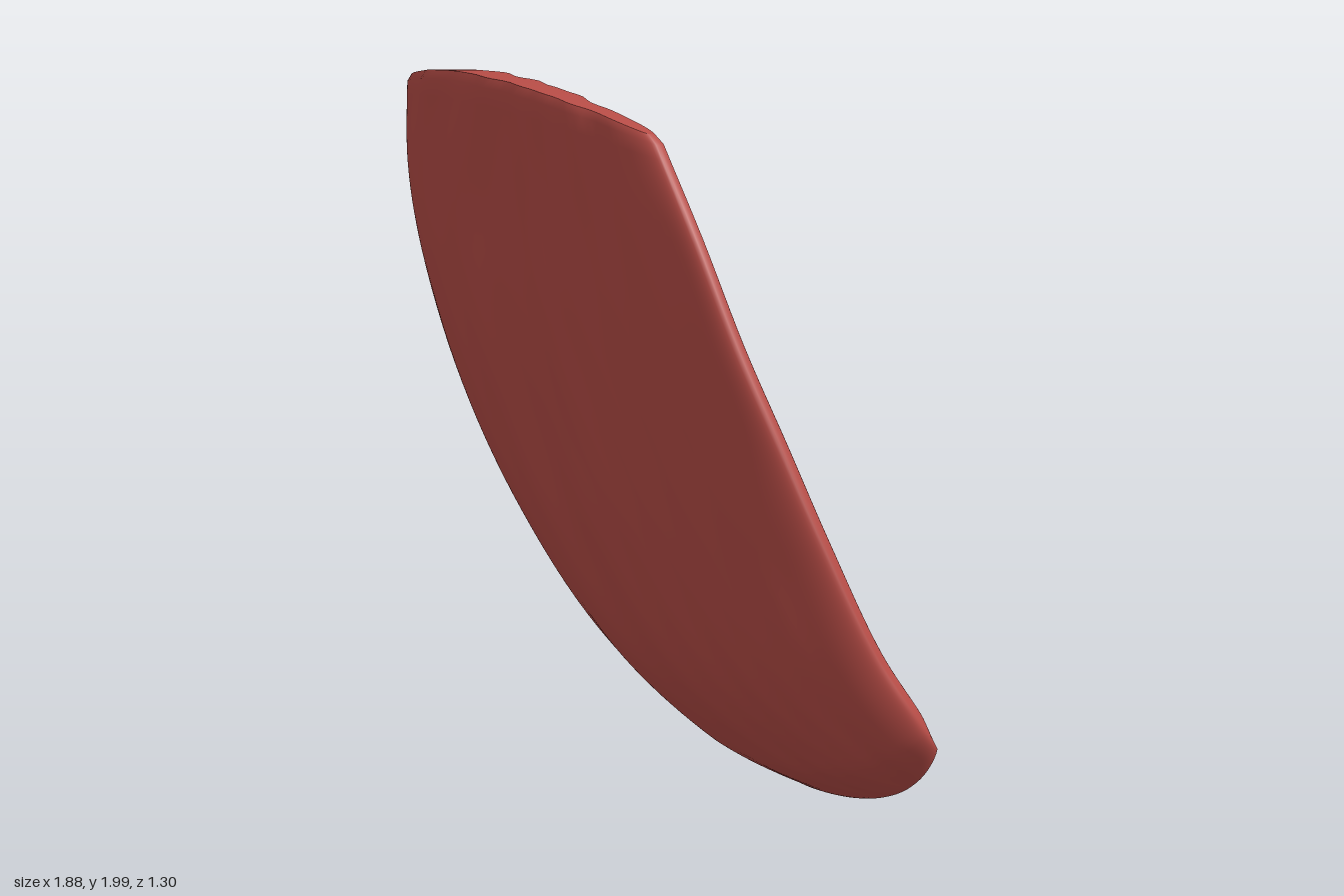
import * as THREE from 'three';

const P = (x, y, z) => new THREE.Vector3(x, y, z);

// Guide curves running from the broad top end to the narrow lower tip
const rearEdge = new THREE.CatmullRomCurve3([
  P(-0.92, 1.96, -0.645), P(-0.915, 1.7, -0.615), P(-0.845, 1.47, -0.525), P(-0.665, 1.12, -0.325),
  P(-0.41, 0.77, -0.1), P(-0.11, 0.44, 0.07), P(0.2, 0.19, 0.175), P(0.55, 0.01, 0.25)]);
const middle = new THREE.CatmullRomCurve3([
  P(-0.4, 1.985, 0.04), P(-0.355, 1.66, 0.075), P(-0.28, 1.37, 0.145), P(-0.13, 1.05, 0.25),
  P(0.06, 0.73, 0.35), P(0.31, 0.4, 0.42), P(0.6, 0.18, 0.42), P(0.81, 0.05, 0.36)]);
const frontEdge = new THREE.CatmullRomCurve3([
  P(0.17, 1.85, 0.49), P(0.3, 1.6, 0.57), P(0.43, 1.31, 0.615), P(0.55, 1.06, 0.63),
  P(0.66, 0.82, 0.63), P(0.8, 0.52, 0.6), P(0.91, 0.33, 0.545), P(0.94, 0.23, 0.465)]);

// Point on the curved middle sheet: u across, v from top to tip
function sheet(u, v) {
  return P(0, 0, 0)
    .addScaledVector(rearEdge.getPoint(v), 2 * (u - 0.5) * (u - 1))
    .addScaledVector(middle.getPoint(v), 4 * u * (1 - u))
    .addScaledVector(frontEdge.getPoint(v), 2 * u * (u - 0.5));
}

// Direction out of the convex face
function outward(u, v) {
  const e = 0.01, u0 = Math.max(0, u - e), u1 = Math.min(1, u + e);
  const v0 = Math.max(0, v - e), v1 = Math.min(1, v + e);
  const du = sheet(u1, v).sub(sheet(u0, v));
  const dv = sheet(u, v1).sub(sheet(u, v0));
  return dv.cross(du).normalize();
}

// Irregular slanting fibre folds that come and go along the length
function folds(u, v, front) {
  const a = Math.sin(u * 25 + v * 10 + (front ? 2 : 0)) * (0.6 + 0.6 * Math.sin(v * 9 + u * 8));
  const b = Math.sin(u * 44 + v * 15 + 2 * Math.sin(u * 9)) * Math.sin(v * 11 - u * 11 + 1);
  const fade = Math.sin(Math.PI * u) * (1 - v) ** 0.6;
  return (front ? 0.009 : 0.014) * fade * (a + 0.8 * b);
}

function muscleGeometry() {
  const around = 120, rows = 56;
  const pos = [], index = [];
  for (let i = 0; i <= rows; i++) {
    const v = i === 0 ? 0 : 0.012 + 0.988 * (1 - (1 - (i - 1) / (rows - 1)) ** 1.3);
    const rim = i === 0 ? 0.78 : 1;
    const half = rim * (0.061 + 0.011 * Math.sin(Math.PI * v)) * Math.min(1, Math.sqrt((1 - v) / 0.14));
    for (let j = 0; j < around; j++) {
      const t = (j / around) * Math.PI * 2;
      const s = Math.sin(t);
      // The top row is drawn in a little to round its corners
      const u = 0.5 - (i === 0 ? 0.485 : 0.5) * Math.cos(t);
      // Slightly thicker toward the rear edge near the top
      const swell = 1 + 0.15 * (1 - v) * Math.cos(Math.PI * u);
      const w = half * swell * Math.sign(s) * Math.abs(s) ** 0.55 + folds(u, v, s > 0);
      const p = sheet(u, v).addScaledVector(outward(u, v), w);
      pos.push(p.x, p.y, p.z);
    }
  }
  for (let i = 0; i < rows; i++) {
    for (let j = 0; j < around; j++) {
      const k = (j + 1) % around;
      const a = i * around + j, b = i * around + k;
      index.push(a, a + around, b, b, a + around, b + around);
    }
  }
  // Cut top end, with its own vertices for a crisp rim
  const cap = pos.length / 3;
  pos.push(...pos.slice(0, around * 3));
  for (let j = 0; j < around / 2; j++) {
    const a = cap + j, b = a + 1;
    const c = cap + around - j - 1, d = cap + ((around - j) % around);
    index.push(a, b, c);
    if (a !== d) index.push(a, c, d);
  }
  const g = new THREE.BufferGeometry();
  g.setAttribute('position', new THREE.Float32BufferAttribute(pos, 3));
  g.setIndex(index);
  g.computeVertexNormals();
  return g;
}

export function createModel() {
  const group = new THREE.Group();
  group.name = 'muscle';
  const red = new THREE.MeshStandardMaterial({ color: 0xb64c46 });
  red.name = 'muscle red';
  const belly = new THREE.Mesh(muscleGeometry(), red);
  belly.name = 'fanShapedMuscle';
  group.add(belly);
  return group;
}
